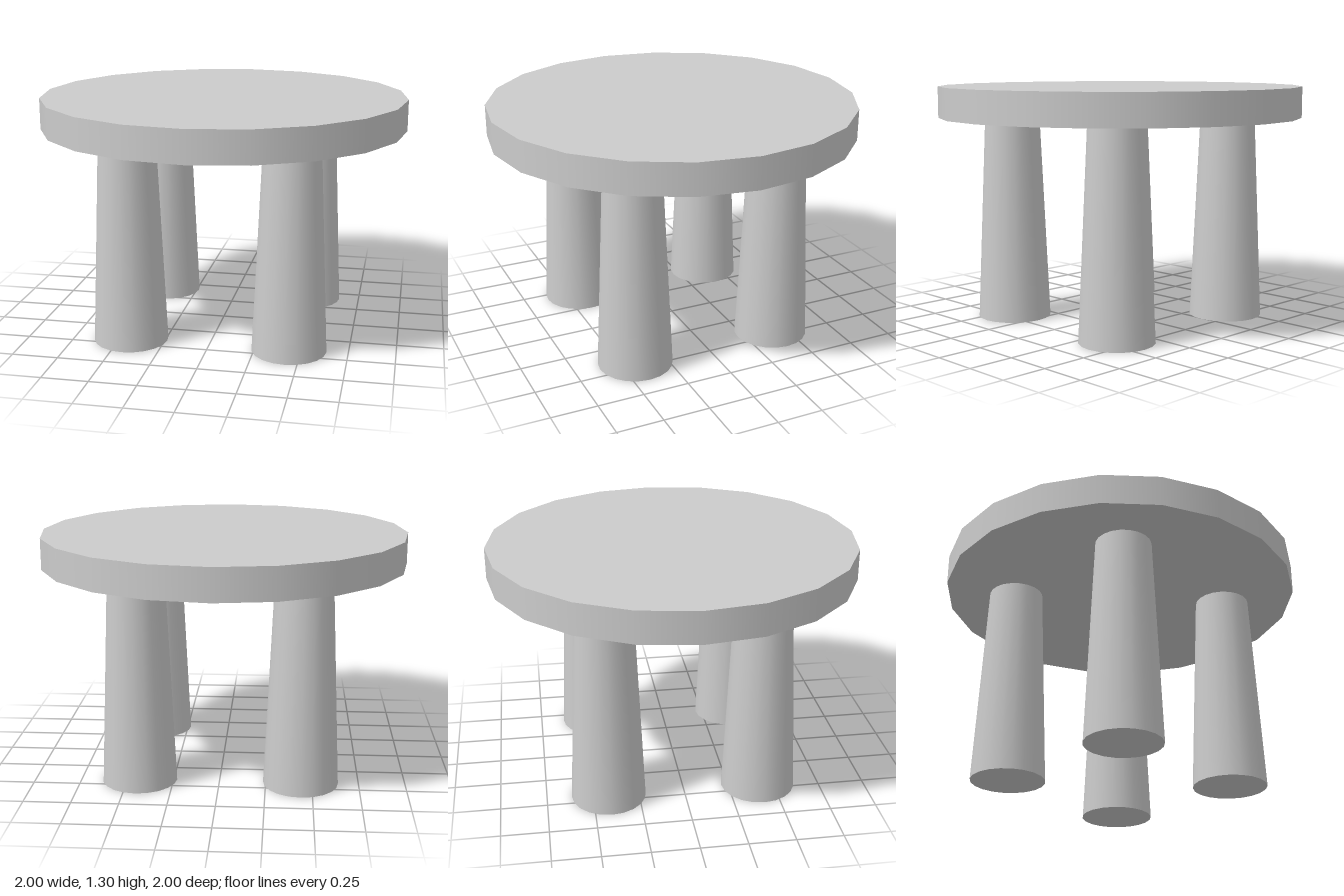
import * as THREE from 'three';

export function createModel() {
  const group = new THREE.Group();
  const material = new THREE.MeshStandardMaterial({ color: 0xcccccc });

  const add = (name, geometry, x, y, z) => {
    const mesh = new THREE.Mesh(geometry, material);
    mesh.name = name;
    mesh.position.set(x, y, z);
    group.add(mesh);
  };

  // Round top: a twenty-sided slab
  const legHeight = 1.13, topThickness = 0.17;
  add('tableTop', new THREE.CylinderGeometry(1, 1, topThickness, 20), 0, legHeight + topThickness / 2, 0);

  // Four legs, wider at the foot
  const leg = new THREE.CylinderGeometry(0.151, 0.202, legHeight, 20);
  for (const [side, x] of [['Left', 0.433], ['Right', -0.438]]) {
    for (const [end, z] of [['front', 0.415], ['back', -0.413]]) {
      add(`${end}${side}Leg`, leg, x, legHeight / 2, z);
    }
  }

  return group;
}
